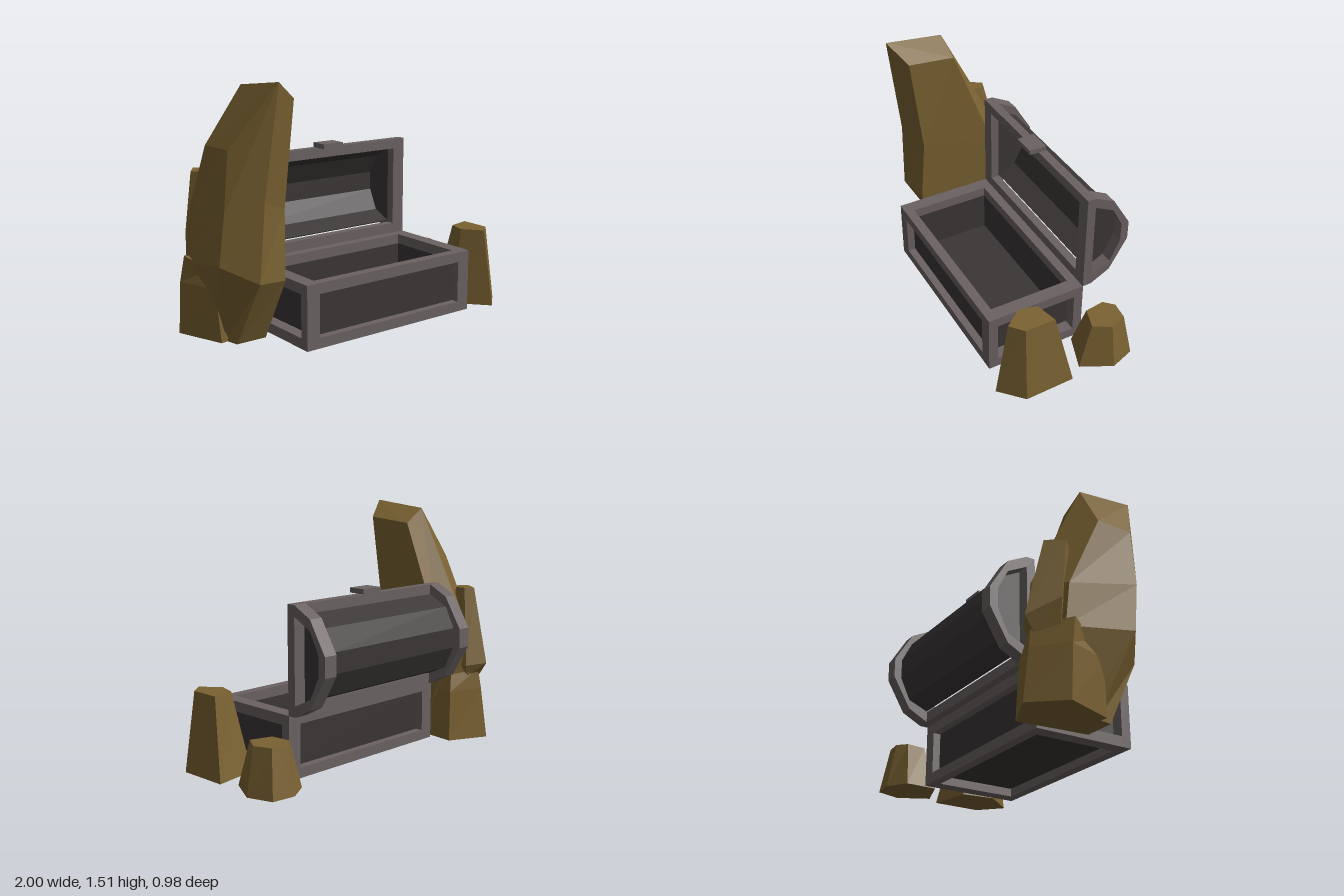
import * as THREE from 'three';

const frameMat = new THREE.MeshStandardMaterial({ color: 0x6b6262, flatShading: true });
const panelMat = new THREE.MeshStandardMaterial({ color: 0x3a3635, flatShading: true });
const rockMat = new THREE.MeshStandardMaterial({ color: 0x7a6232, flatShading: true });

// chest extents, beam thicknesses and panel thickness
const X0 = -0.577, X1 = 0.664, Z0 = -0.197, Z1 = 0.44, H = 0.385;
const BX = 0.087, BY = 0.063, BZ = 0.06, T = 0.012;

function add(parent, name, geometry, material) {
  const mesh = new THREE.Mesh(geometry, material);
  mesh.name = name;
  parent.add(mesh);
  return mesh;
}

// box given by its min and max on each axis
function box(parent, name, material, x0, x1, y0, y1, z0, z1) {
  const g = new THREE.BoxGeometry(x1 - x0, y1 - y0, z1 - z0);
  g.translate((x0 + x1) / 2, (y0 + y1) / 2, (z0 + z1) / 2);
  return add(parent, name, g, material);
}

// extrude a [z, y] profile along x
function extrudeX(parent, name, material, profile, x0, x1, hole) {
  const toPts = list => list.map(([z, y]) => new THREE.Vector2(-z, y));
  const shape = new THREE.Shape(toPts(profile));
  if (hole) shape.holes.push(new THREE.Path(toPts(hole)));
  const g = new THREE.ExtrudeGeometry(shape, { depth: x1 - x0, bevelEnabled: false });
  g.rotateY(Math.PI / 2).translate(x0, 0, 0);
  return add(parent, name, g, material);
}

// faceted rock lofted through rings of corners (counterclockwise from above)
function rock(parent, name, rings) {
  const pos = [], n = rings[0].length;
  const tri = (a, b, c) => pos.push(...a, ...b, ...c);
  for (let r = 0; r + 1 < rings.length; r++) {
    const lo = rings[r], hi = rings[r + 1];
    for (let i = 0; i < n; i++) {
      const j = (i + 1) % n;
      tri(lo[i], lo[j], hi[j]);
      tri(lo[i], hi[j], hi[i]);
    }
  }
  const bottom = rings[0], top = rings[rings.length - 1];
  for (let i = 1; i < n - 1; i++) {
    tri(top[0], top[i], top[i + 1]);
    tri(bottom[0], bottom[i + 1], bottom[i]);
  }
  const g = new THREE.BufferGeometry();
  g.setAttribute('position', new THREE.Float32BufferAttribute(pos, 3));
  g.computeVertexNormals();
  return add(parent, name, g, rockMat);
}
const level = (y, pts) => pts.map(([x, z]) => [x, y, z]);

function chestBase() {
  const base = new THREE.Group();
  base.name = 'chestBase';
  // long rails
  for (const y of [0, H - BY])
    for (const z of [Z0, Z1 - BZ]) box(base, 'longRail', frameMat, X0, X1, y, y + BY, z, z + BZ);
  for (const x of [X0, X1 - BX]) {
    // side rails and corner posts
    for (const y of [0, H - BY]) box(base, 'sideRail', frameMat, x, x + BX, y, y + BY, Z0 + BZ, Z1 - BZ);
    for (const z of [Z0, Z1 - BZ]) box(base, 'cornerPost', frameMat, x, x + BX, BY, H - BY, z, z + BZ);
  }
  // panels flush with the inside of the frame
  const a = X0 + BX, b = X1 - BX, c = Z0 + BZ, d = Z1 - BZ;
  for (const z of [c - T, d]) box(base, 'longPanel', panelMat, a, b, BY, H - BY, z, z + T);
  for (const x of [a - T, b]) box(base, 'sidePanel', panelMat, x, x + T, BY, H - BY, c, d);
  box(base, 'floorPanel', panelMat, a, b, BY - T, BY, c, d);
  return base;
}

function chestLid() {
  const lid = new THREE.Group();
  lid.name = 'chestLid';
  const zf = -0.195, zb = -0.25, a = X0 + BX, b = X1 - BX;
  const outer = [[zf, H], [zb, H], [-0.375, 0.45], [-0.49, 0.645], [-0.49, 0.765], [-0.375, 0.955], [zb, 1.02], [zf, 1.02]];
  const inner = [[zb, 0.45], [-0.375, 0.51], [-0.44, 0.645], [-0.44, 0.765], [-0.375, 0.89], [zb, 0.955]];
  // end frames with panels on their inner side
  for (const [x, px] of [[X0, a - T], [b, b]]) {
    extrudeX(lid, 'lidEndFrame', frameMat, outer, x, x + BX, inner);
    extrudeX(lid, 'lidEndPanel', panelMat, inner, px, px + T);
  }
  // rails along the opening
  box(lid, 'lidBottomRail', frameMat, a, b, H, 0.45, zb, zf);
  box(lid, 'lidTopRail', frameMat, a, b, 0.957, 1.02, zb, zf);
  // thin faceted barrel
  const barrel = [[zb, 0.462], [-0.372, 0.515], [-0.436, 0.646], [-0.436, 0.764], [-0.372, 0.886], [zb, 0.952],
    [zb, 0.959], [-0.378, 0.893], [-0.442, 0.766], [-0.442, 0.644], [-0.378, 0.508], [-0.253, 0.456]];
  extrudeX(lid, 'lidBarrel', panelMat, barrel, a, b);
  box(lid, 'clasp', frameMat, -0.036, 0.113, 1.02, 1.05, -0.247, -0.135);
  return lid;
}

export function createModel() {
  const model = new THREE.Group();
  model.name = 'openChestWithRocks';
  model.add(chestBase(), chestLid());

  // tall leaning rock
  rock(model, 'tallRock', [
    [[-0.83, 0, 0.1], [-0.635, 0, 0.1], [-0.62, 0, -0.1], [-0.74, 0, -0.15], [-0.85, 0, -0.1], [-0.85, 0, 0]],
    [[-0.8, 0.4, 0.31], [-0.605, 0.38, 0.27], [-0.6, 0.4, -0.24], [-0.75, 0.42, -0.37], [-0.95, 0.43, -0.26], [-0.98, 0.5, 0.18]],
    [[-0.765, 0.86, 0.316], [-0.588, 0.79, 0.244], [-0.583, 0.72, -0.237], [-0.74, 0.75, -0.335], [-0.95, 0.69, -0.23], [-0.965, 0.8, 0.22]],
    [[-0.72, 1.515, 0.4], [-0.57, 1.412, 0.32], [-0.574, 1.385, 0.02], [-0.727, 1.475, 0.03], [-0.94, 1.15, -0.01], [-0.935, 1.15, 0.22]],
  ]);
  // stump and slanted shard behind it
  rock(model, 'backStump', [
    level(0, [[-1, -0.27], [-0.89, 0.03], [-0.66, 0], [-0.62, -0.1], [-0.595, -0.34], [-0.84, -0.455]]),
    level(0.32, [[-0.995, -0.25], [-0.91, 0.01], [-0.67, 0], [-0.63, -0.1], [-0.61, -0.33], [-0.83, -0.41]]),
    [[-0.98, 0.48, -0.22], [-0.9, 0.42, -0.05], [-0.7, 0.42, -0.05], [-0.66, 0.42, -0.12], [-0.64, 0.42, -0.31], [-0.82, 0.45, -0.39]],
  ]);
  rock(model, 'backShard', [
    level(0.4, [[-0.93, -0.28], [-0.86, -0.2], [-0.72, -0.25], [-0.74, -0.35], [-0.84, -0.38]]),
    [[-0.94, 0.6, -0.27], [-0.86, 0.5, -0.18], [-0.7, 0.5, -0.25], [-0.72, 0.48, -0.37], [-0.84, 0.49, -0.44]],
    level(0.97, [[-0.92, -0.22], [-0.87, -0.17], [-0.8, -0.21], [-0.8, -0.28], [-0.85, -0.32]]),
  ]);
  // two cut rocks on the other side
  rock(model, 'frontRock', [
    level(0, [[0.968, 0.045], [0.697, 0.096], [0.674, 0.305], [0.836, 0.49], [0.976, 0.36]]),
    level(0.48, [[0.912, 0.148], [0.77, 0.18], [0.74, 0.29], [0.83, 0.407], [0.912, 0.34]]),
  ]);
  rock(model, 'rearRock', [
    level(0, [[0.677, -0.315], [0.685, -0.118], [0.905, -0.037], [1, -0.225], [0.947, -0.378], [0.803, -0.395]]),
    level(0.28, [[0.743, -0.29], [0.76, -0.165], [0.888, -0.123], [0.95, -0.225], [0.909, -0.332], [0.8, -0.345]]),
  ]);
  return model;
}
